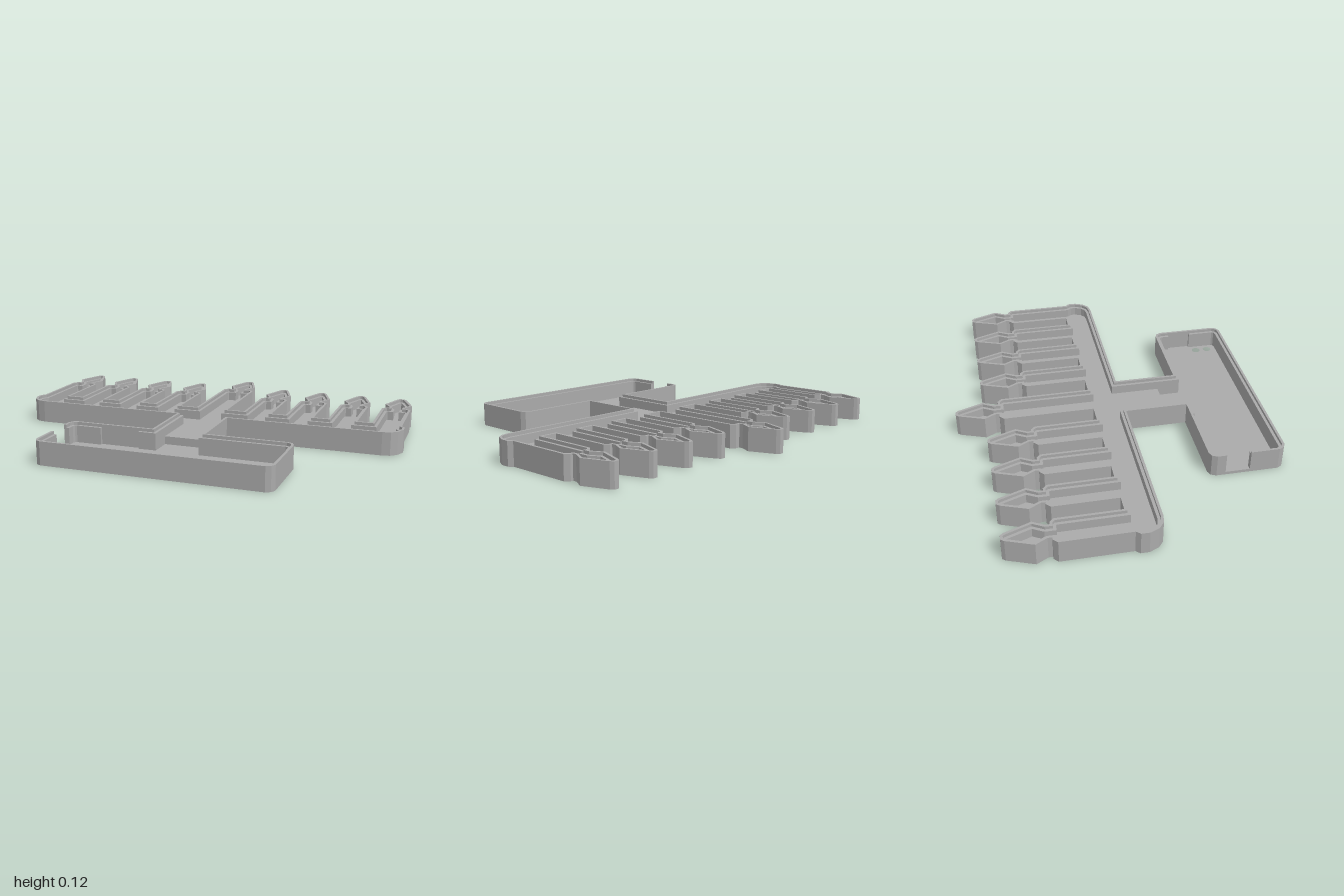
import * as THREE from 'three';

const HEIGHT = 0.115, FLOOR = 0.015, UPPER_FLOOR = 0.055, LEDGE = 0.1;

// One candle outline from left base to right base, as [x, z]
function candle(cx, tip, top, w) {
  const half = [
    [0.012, tip], [0.024, tip + 0.015], [0.07, tip + 0.14], [0.04, tip + 0.195],
    [0.04, top], [w - 0.02, top], [w, top + 0.02], [w, -0.08],
  ];
  const left = half.map(([x, z]) => [cx - x, z]).reverse();
  return [...left, ...half.map(([x, z]) => [cx + x, z])];
}

// Closed outline, starting and ending at the cable notch in the base
function makeOutline() {
  const candles = [];
  for (const cx of [-0.91, -0.69, -0.47, -0.25, 0, 0.25, 0.47, 0.69, 0.91]) {
    candles.push(...(cx === 0 ? candle(0, -0.765, -0.55, 0.085) : candle(cx, -0.625, -0.41, 0.073)));
  }
  candles[0] = [-0.983, -0.06];
  candles[candles.length - 1] = [0.983, -0.06];
  const bar = [[1, -0.04], [1, 0], [0.98, 0.045], [0.95, 0.07], [0.91, 0.078], [0.135, 0.078], [0.135, 0.3], [0.135, 0.39]];
  const corner = [[0.535, 0.39], [0.558, 0.4], [0.57, 0.425]];
  const lower = [[0.57, 0.73], [0.558, 0.753], [0.535, 0.765]];
  const flip = (pts) => pts.map(([x, z]) => [-x, z]).reverse();
  return [
    [-0.57, 0.47], ...flip(corner), [-0.4, 0.39], [-0.2, 0.39], ...flip(bar),
    ...candles, ...bar, ...corner, [0.57, 0.47], [0.57, 0.59], ...lower,
    ...flip(lower), [-0.57, 0.59],
  ];
}

// Moves a closed outline inwards by d with mitred corners
function inset(pts, d) {
  const n = pts.length;
  const normal = (a, b) => {
    const dx = b[0] - a[0], dz = b[1] - a[1], l = Math.hypot(dx, dz);
    return [-dz / l, dx / l];
  };
  return pts.map((p, i) => {
    const a = normal(pts[(i + n - 1) % n], p), b = normal(p, pts[(i + 1) % n]);
    const k = d / (1 + a[0] * b[0] + a[1] * b[1]);
    return [p[0] + (a[0] + b[0]) * k, p[1] + (a[1] + b[1]) * k];
  });
}

const toShape = (pts) => new THREE.Shape(pts.map(([x, z]) => new THREE.Vector2(x, -z)));

export function createModel() {
  const model = new THREE.Group();
  model.name = 'candelabraTray';
  const grey = new THREE.MeshStandardMaterial({ color: 0xaaaaaa });
  grey.name = 'grey plastic';

  function slab(name, shape, y0, y1) {
    const geo = new THREE.ExtrudeGeometry(shape, { depth: y1 - y0, bevelEnabled: false, curveSegments: 12 });
    geo.rotateX(-Math.PI / 2).translate(0, y0, 0);
    const mesh = new THREE.Mesh(geo, grey);
    mesh.name = name;
    model.add(mesh);
  }

  const outer = makeOutline(), middle = inset(outer, 0.012), inner = inset(outer, 0.026);

  // Floor with two cable holes
  const floor = toShape(outer);
  for (const z of [0.625, 0.69]) {
    const hole = new THREE.Path();
    hole.absarc(0.505, -z, 0.022, 0, Math.PI * 2, true);
    floor.holes.push(hole);
  }
  slab('floor', floor, 0, FLOOR);

  // Raised floor of the candles, bar and stem
  slab('raisedFloor', toShape(middle.filter(([, z]) => z < 0.31)), FLOOR, UPPER_FLOOR);

  // Outer wall, open at the notch
  slab('wall', toShape([...outer, ...middle.slice().reverse()]), FLOOR, HEIGHT);

  // Inner ledge in runs, interrupted by recesses in the base
  const at = (x, z) => outer.findIndex((p) => p[0] === x && p[1] === z);
  const runs = [
    [0, at(-0.4, 0.39)], [at(-0.2, 0.39), at(0.57, 0.47)], [at(0.57, 0.59), outer.length - 1],
  ];
  for (const [a, b] of runs) {
    const strip = [...middle.slice(a, b + 1), ...inner.slice(a, b + 1).reverse()];
    slab('ledge', toShape(strip), FLOOR, LEDGE);
  }
  return model;
}
